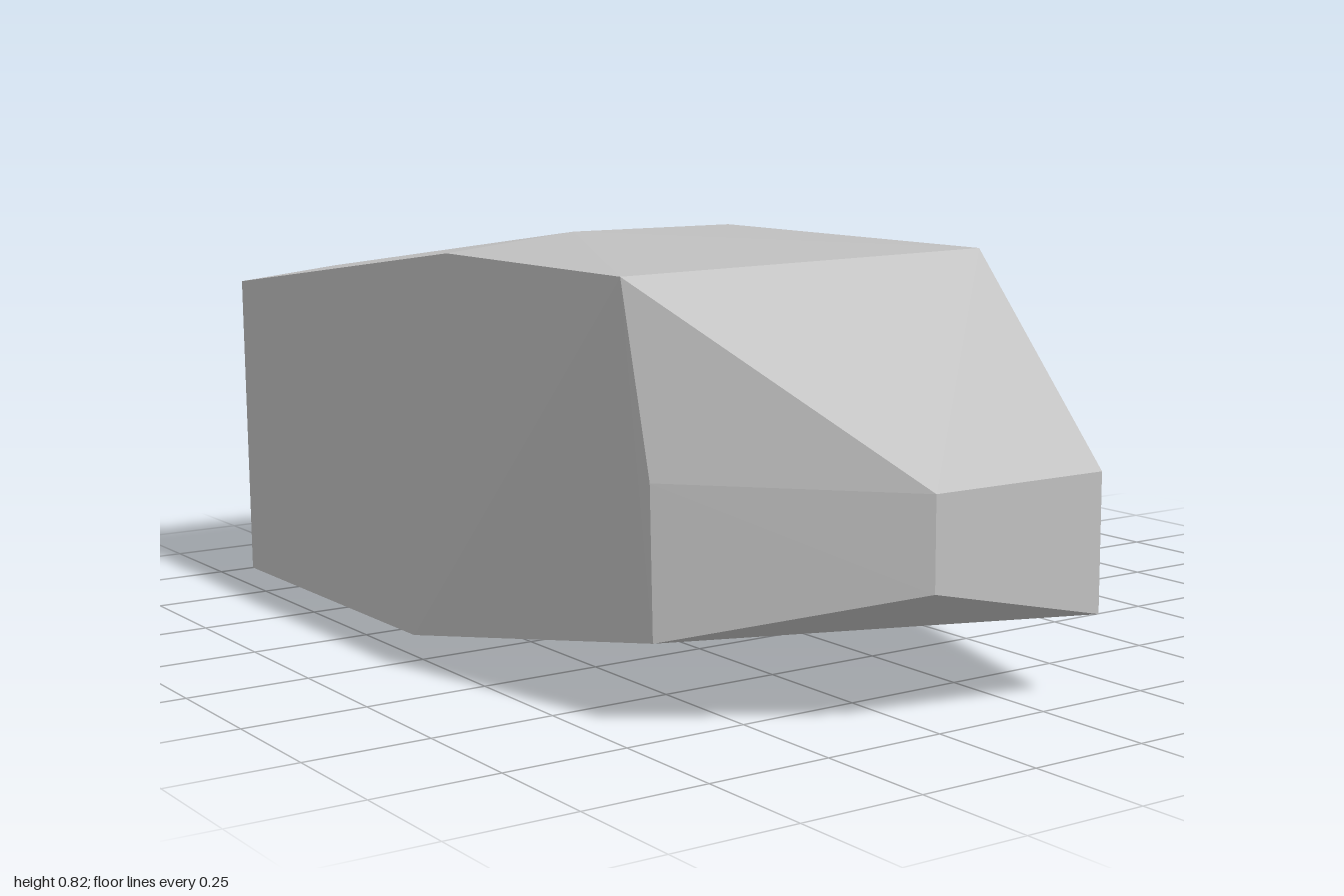
import * as THREE from 'three';
import { ConvexGeometry } from 'three/addons/geometries/ConvexGeometry.js';

// Faceted wedge: a flat, arched end on the left tapering to a small blunt nose.
export function createModel() {
  const group = new THREE.Group();
  group.name = 'facetedBlock';
  const stone = new THREE.MeshStandardMaterial({ color: 0xc0c0c0 });
  stone.name = 'light grey';

  // flat end at x = -1: [z, y] outline
  const flatEnd = [
    [0.67, 0], [0.675, 0.68], [0.44, 0.705], [0.21, 0.70], [-0.18, 0.613],
    [-0.355, 0.52], [-0.655, 0.11], [-0.675, 0.06], [-0.68, 0],
  ].map(([z, y]) => [-1, y, z]);

  // top ridge and front shoulder
  const top = [
    [-0.19, 0.825, -0.135], [0.65, 0.825, -0.135], [-0.19, 0.825, 0.27],
    [0, 0.81, 0.68], [0.63, 0.81, 0.68],
  ];

  // blunt nose at x = 1 and the chamfer in front of it
  const nose = [
    [1, 0.435, 0.265], [1, 0.435, -0.135], [1, 0.165, -0.135], [1, 0.255, 0.265],
    [0.69, 0.45, 0.66], [0.69, 0.16, 0.655],
  ];

  // underside corners
  const base = [[-0.19, 0, 0.67], [-0.68, 0, -0.56]];

  const points = [...flatEnd, ...top, ...nose, ...base].map((p) => new THREE.Vector3(...p));
  const body = new THREE.Mesh(new ConvexGeometry(points), stone);
  body.name = 'body';
  group.add(body);
  return group;
}
